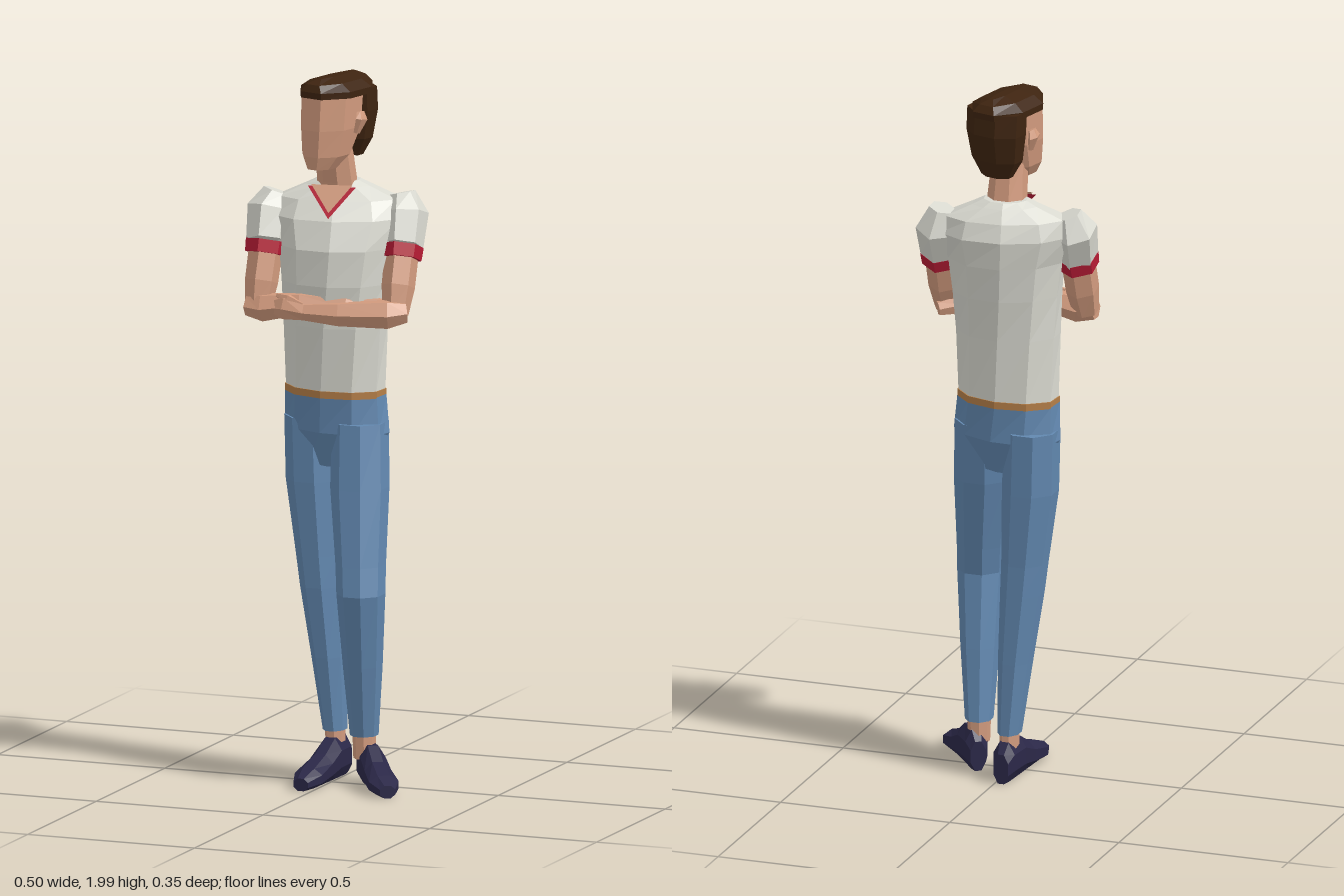
import * as THREE from 'three';

const mat = (name, color) => {
  const m = new THREE.MeshStandardMaterial({ color, flatShading: true, side: THREE.DoubleSide });
  m.name = name;
  return m;
};

const V = (x, y, z) => new THREE.Vector3(x, y, z);

// Skin a row of rings {c, u, v} with n sides and close both ends
function loft(rings, n = 8) {
  const pos = [], idx = [], k = 1 / Math.cos(Math.PI / n);
  for (const { c, u, v } of rings) {
    for (let j = 0; j < n; j++) {
      const a = (j + 0.5) / n * Math.PI * 2;
      const p = c.clone().addScaledVector(u, Math.cos(a) * k).addScaledVector(v, Math.sin(a) * k);
      pos.push(p.x, p.y, p.z);
    }
  }
  const last = rings.length - 1;
  for (let i = 0; i < last; i++) {
    for (let j = 0; j < n; j++) {
      const a = i * n + j, b = i * n + (j + 1) % n;
      idx.push(a, a + n, b, b, a + n, b + n);
    }
  }
  for (let j = 1; j < n - 1; j++) {
    idx.push(0, j, j + 1, last * n, last * n + j + 1, last * n + j);
  }
  const g = new THREE.BufferGeometry();
  g.setAttribute('position', new THREE.Float32BufferAttribute(pos, 3));
  g.setIndex(idx);
  const flat = g.toNonIndexed();
  flat.computeVertexNormals();
  return flat;
}

// Level rings, bottom up: [y, x, z, halfWidth, halfDepth, yaw]
const stack = (rows, n) => loft(rows.map(([y, x, z, rx, rz, t = 0]) => ({
  c: V(x, y, z),
  u: V(Math.cos(t), 0, -Math.sin(t)).multiplyScalar(rx),
  v: V(Math.sin(t), 0, Math.cos(t)).multiplyScalar(rz),
})), n);

// Limb along a path: [x, y, z, radiusAcross, radiusDeep]
function limb(rows, n = 6) {
  const pts = rows.map(r => V(r[0], r[1], r[2]));
  return loft(rows.map((r, i) => {
    const d = pts[Math.min(i + 1, pts.length - 1)].clone().sub(pts[Math.max(i - 1, 0)]).normalize();
    const v = V(0, 0, 1).addScaledVector(d, -d.z).normalize();
    const u = d.clone().cross(v);
    return { c: pts[i], u: u.multiplyScalar(r[3]), v: v.multiplyScalar(r[4] ?? r[3]) };
  }), n);
}

// Shoe from heel to toe: sections [distance, halfWidth, height]
function shoe(heel, toe) {
  const f = toe.clone().sub(heel), len = f.length();
  f.normalize();
  const side = f.clone().cross(V(0, 1, 0));
  const sections = [[0, 0.022, 0.085], [0.08, 0.032, 0.115], [0.33, 0.036, 0.115],
    [0.55, 0.038, 0.08], [0.82, 0.042, 0.055], [1, 0.022, 0.035]];
  return loft(sections.map(([d, w, h]) => ({
    c: heel.clone().addScaledVector(f, d * len).setY(h / 2 + 0.006),
    u: side.clone().multiplyScalar(w),
    v: V(0, h / 2, 0),
  })), 8);
}

function triangle(a, b, c) {
  const g = new THREE.BufferGeometry().setFromPoints([a, b, c]);
  g.computeVertexNormals();
  return g;
}

export function createModel() {
  const model = new THREE.Group();
  model.name = 'standingMan';
  const skin = mat('skin', 0xd29b7e), shirt = mat('shirtWhite', 0xd9d9d0),
    jeans = mat('denimBlue', 0x6288b0), hair = mat('hairBrown', 0x3e2410),
    shoes = mat('shoeNavy', 0x2b2848), red = mat('trimRed', 0xb81c35), belt = mat('beltTan', 0xb57f48);
  const add = (name, geometry, material, parent = model) => {
    const m = new THREE.Mesh(geometry, material);
    m.name = name;
    parent.add(m);
    return m;
  };

  // Shirt, belt and hips
  add('shirt', stack([
    [1.115, -0.004, -0.04, 0.14, 0.088, -0.08],
    [1.3, -0.002, -0.036, 0.142, 0.1, 0.05],
    [1.42, 0, -0.038, 0.148, 0.115, 0.15],
    [1.52, 0, -0.045, 0.158, 0.122, 0.2],
    [1.6, -0.005, -0.065, 0.18, 0.112, 0.22],
    [1.65, -0.008, -0.075, 0.165, 0.085, 0.22],
    [1.685, -0.008, -0.075, 0.09, 0.06, 0.2],
    [1.7, -0.008, -0.072, 0.06, 0.048, 0.2],
  ], 10), shirt);
  add('belt', stack([
    [1.1, -0.004, -0.04, 0.143, 0.091, -0.08],
    [1.12, -0.004, -0.04, 0.143, 0.091, -0.08],
  ], 10), belt);
  add('hips', stack([
    [0.9, 0, -0.04, 0.1, 0.05, -0.25],
    [1.0, 0, -0.042, 0.156, 0.085, -0.2],
    [1.104, -0.004, -0.04, 0.143, 0.09, -0.08],
  ], 10), jeans);

  // Legs: left knee bent forward, right leg set back
  add('leftLeg', stack([
    [0.145, 0.094, -0.01, 0.036, 0.042],
    [0.35, 0.105, 0.028, 0.05, 0.058],
    [0.56, 0.115, 0.066, 0.062, 0.068],
    [0.64, 0.108, 0.05, 0.064, 0.07],
    [0.85, 0.088, 0.008, 0.076, 0.076],
    [1.03, 0.078, -0.022, 0.072, 0.078],
  ]), jeans);
  add('rightLeg', stack([
    [0.14, -0.022, -0.08, 0.03, 0.042],
    [0.35, -0.036, -0.07, 0.044, 0.056],
    [0.55, -0.053, -0.062, 0.056, 0.066],
    [0.64, -0.06, -0.06, 0.06, 0.068],
    [0.85, -0.076, -0.06, 0.073, 0.076],
    [1.03, -0.082, -0.062, 0.072, 0.078],
  ]), jeans);
  add('leftAnkle', stack([[0.08, 0.094, -0.012, 0.028, 0.033], [0.16, 0.094, -0.01, 0.03, 0.035]]), skin);
  add('rightAnkle', stack([[0.08, -0.022, -0.083, 0.024, 0.033], [0.16, -0.022, -0.08, 0.025, 0.035]]), skin);
  add('leftShoe', shoe(V(0.08, 0, -0.055), V(0.232, 0, 0.155)), shoes);
  add('rightShoe', shoe(V(-0.018, 0, -0.14), V(-0.03, 0, 0.152)), shoes);

  // Sleeves, bands and upper arms
  const arms = [
    ['left', [0.165, 1.665, -0.115], [0.178, 1.61, -0.11], [0.185, 1.525, -0.068], [0.193, 1.345, 0.004]],
    ['right', [-0.18, 1.66, -0.035], [-0.195, 1.61, -0.025], [-0.188, 1.525, 0.014], [-0.192, 1.345, 0.07]],
  ];
  for (const [side, top, mid, cuff, elbow] of arms) {
    const at = t => cuff.map((c, i) => c + (elbow[i] - c) * t);
    add(side + 'Sleeve', limb([[...top, 0.032], [...mid, 0.054, 0.06], [...cuff, 0.05, 0.053]]), shirt);
    add(side + 'SleeveBand', limb([[...cuff, 0.051, 0.054], [...at(0.19), 0.049, 0.052]]), red);
    add(side + 'UpperArm', limb([[...at(0.1), 0.041, 0.043], [...at(0.6), 0.04, 0.043], [...elbow, 0.032, 0.03]]), skin);
  }

  // Folded forearms with hands
  add('leftForearm', limb([
    [0.226, 1.352, 0.005, 0.026], [0.18, 1.348, 0.03, 0.037], [0.05, 1.347, 0.072, 0.031],
    [-0.045, 1.35, 0.092, 0.022], [-0.1, 1.358, 0.1, 0.03, 0.02], [-0.155, 1.355, 0.088, 0.015, 0.012],
  ]), skin);
  add('rightForearm', limb([
    [-0.22, 1.352, 0.075, 0.026], [-0.17, 1.35, 0.078, 0.036], [-0.06, 1.368, 0.075, 0.028],
    [0.06, 1.365, 0.045, 0.024], [0.14, 1.355, -0.005, 0.028, 0.02], [0.2, 1.345, -0.052, 0.018, 0.014],
  ]), skin);
  add('leftThumb', limb([[-0.05, 1.365, 0.095, 0.012], [-0.09, 1.385, 0.1, 0.011], [-0.125, 1.39, 0.092, 0.006]], 5), skin);

  // Neck and V-shaped collar
  add('neck', stack([
    [1.64, -0.006, -0.065, 0.056, 0.05], [1.7, -0.006, -0.055, 0.052, 0.05], [1.8, -0.006, -0.035, 0.046, 0.05],
  ]), skin);
  const collar = new THREE.Group();
  collar.name = 'collar';
  collar.position.set(-0.012, 0, -0.07);
  collar.rotation.y = 0.18;
  model.add(collar);
  add('collarTrim', triangle(V(-0.068, 1.69, 0.07), V(0, 1.608, 0.121), V(0.068, 1.69, 0.07)), red, collar);
  add('openNeck', triangle(V(-0.058, 1.695, 0.072), V(0, 1.624, 0.117), V(0.058, 1.695, 0.072)), skin, collar);

  // Head, turned to its right
  const head = new THREE.Group();
  head.name = 'head';
  head.position.set(-0.006, 0, -0.022);
  head.rotation.y = -0.25;
  model.add(head);
  add('face', stack([
    [1.748, 0, 0.05, 0.036, 0.045], [1.785, 0, 0.03, 0.06, 0.072],
    [1.86, 0, 0.008, 0.074, 0.095], [1.965, 0, 0, 0.077, 0.096],
  ]), skin, head);
  for (const s of [-1, 1]) {
    add(s > 0 ? 'leftEar' : 'rightEar', limb([
      [s * 0.074, 1.845, -0.012, 0.006, 0.01], [s * 0.088, 1.885, -0.018, 0.009, 0.02],
      [s * 0.082, 1.905, -0.02, 0.006, 0.012],
    ], 5), skin, head);
  }
  add('backHair', stack([
    [1.77, 0, -0.07, 0.045, 0.028], [1.82, 0, -0.07, 0.072, 0.048],
    [1.9, 0, -0.075, 0.083, 0.06], [1.965, 0, -0.07, 0.084, 0.058],
  ]), hair, head);
  add('topHair', stack([
    [1.95, 0, -0.018, 0.085, 0.118], [1.968, 0, -0.018, 0.085, 0.12],
    [1.988, 0, -0.016, 0.055, 0.108], [2.0, 0, -0.02, 0.014, 0.08],
  ]), hair, head);

  return model;
}
